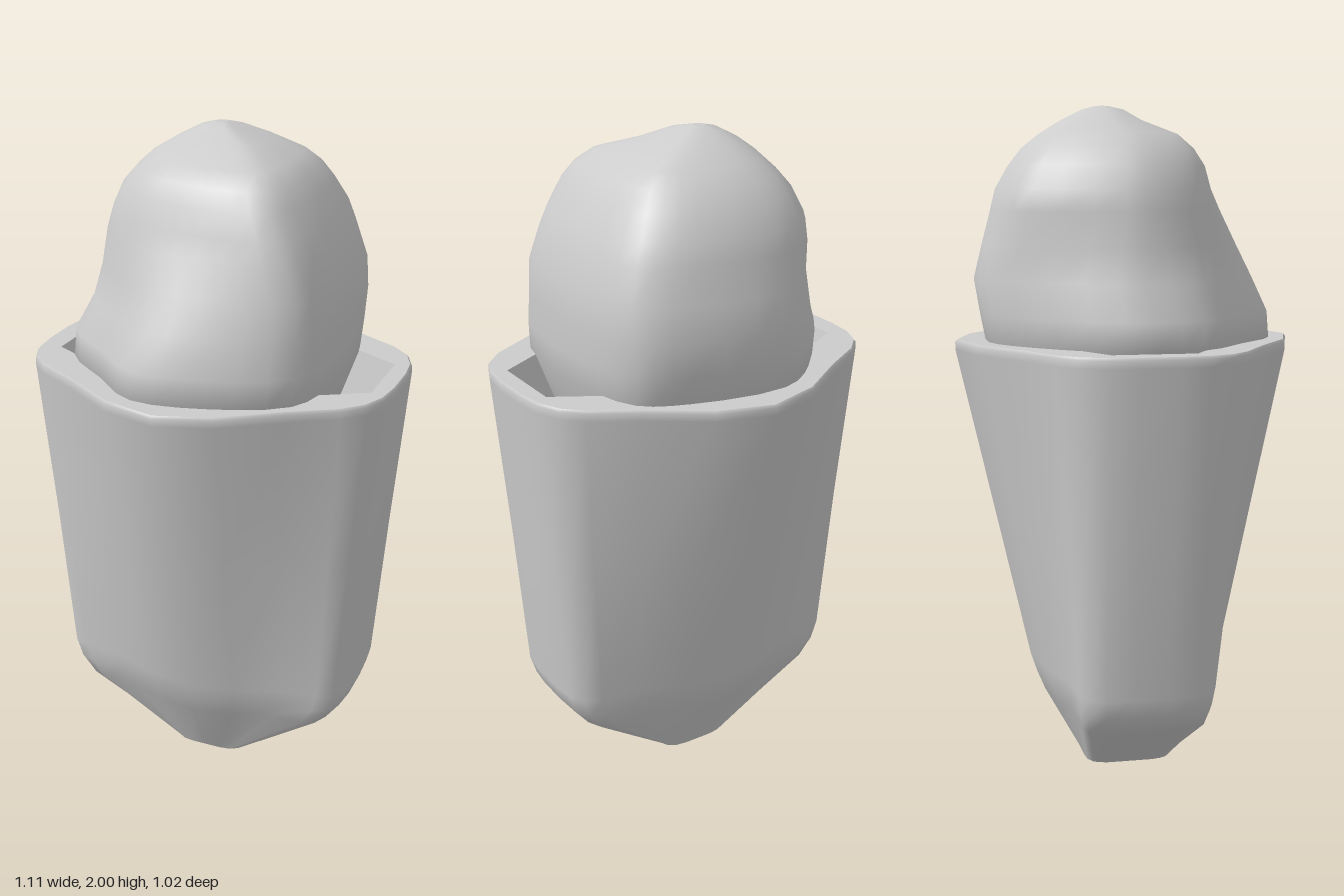
import * as THREE from 'three';

const material = new THREE.MeshStandardMaterial({ color: 0xcccccc });

// Skin a stack of closed rings (equal point counts, listed bottom to top)
function loft(rings) {
  const n = rings[0].length, pos = [], index = [];
  for (const ring of rings) for (const p of ring) pos.push(...p);
  for (let r = 0; r < rings.length - 1; r++) {
    for (let i = 0; i < n; i++) {
      const a = r * n + i, b = r * n + (i + 1) % n;
      index.push(a, a + n, b, b, a + n, b + n);
    }
  }
  const geo = new THREE.BufferGeometry();
  geo.setAttribute('position', new THREE.Float32BufferAttribute(pos, 3));
  geo.setIndex(index);
  geo.computeVertexNormals();
  return geo;
}

// Flat horizontal face, optionally with a hole
function plate(outline, y, up, hole) {
  const s = up ? -1 : 1;
  const flat = (pts) => pts.map((p) => new THREE.Vector2(p[0], s * p[2]));
  const shape = new THREE.Shape(flat(outline));
  if (hole) shape.holes.push(new THREE.Path(flat(hole)));
  return new THREE.ShapeGeometry(shape).rotateX(s * Math.PI / 2).translate(0, y, 0);
}

function addMesh(parent, name, geo) {
  const mesh = new THREE.Mesh(geo, material);
  mesh.name = name;
  parent.add(mesh);
}

// Mirror a quarter outline, running -z, +x, +z, -x
function mirrorQuarter(q) {
  const half = [...q, ...q.map(([x, z]) => [x, -z]).reverse()];
  const other = half.slice(1, -1).map(([x, z]) => [-x, z]).reverse();
  return [...half, ...other];
}

function createPot() {
  const pot = new THREE.Group();
  pot.name = 'pot';
  const outline = mirrorQuarter([[0, -0.51], [0.165, -0.46], [0.325, -0.35], [0.46, -0.27],
    [0.515, -0.215], [0.545, -0.145], [0.555, -0.06]]);
  // Nearly square foot
  const foot = mirrorQuarter([[0, -0.135], [0.045, -0.135], [0.08, -0.13], [0.105, -0.115],
    [0.115, -0.095], [0.12, -0.07], [0.12, -0.03]]).map(([x, z]) => [x, 0, z]);

  // y, half width, half depth, widening of the side panels
  const levels = [[0.21, 0.41, 0.25, 0.8], [0.27, 0.455, 0.275, 0.85],
    [0.33, 0.475, 0.295, 0.85], [0.8, 0.513, 0.4, 0.75], [1.29, 0.555, 0.51, 0],
    [1.312, 0.555, 0.51, 0], [1.32, 0.549, 0.504, 0]];
  const rings = [foot, ...levels.map(([y, w, d, k]) => outline.map(([x, z]) => {
    const s = d / 0.51;
    return [x * w / 0.555, y, z * (s + (1 - s) * k * (x / 0.555) ** 4)];
  }))];
  addMesh(pot, 'potBody', loft(rings));
  addMesh(pot, 'potBase', plate(foot, 0, false));

  // Six-sided cavity tapering inwards
  const hex = [[0, -0.4], [0.49, -0.12], [0.49, 0.12], [0, 0.4], [-0.49, 0.12], [-0.49, -0.12]];
  const mouth = hex.map(([x, z]) => [x + 0.01, 1.32, z]);
  const floor = hex.map(([x, z]) => [x * 0.76, 0.85, z * 0.76]);
  addMesh(pot, 'potRim', plate(rings.at(-1), 1.32, true, mouth));
  const walls = loft([mouth, floor]).toNonIndexed();
  walls.computeVertexNormals();
  addMesh(pot, 'cavityWalls', walls);
  addMesh(pot, 'cavityFloor', plate(floor, 0.85, true));
  return pot;
}

function smoothOutline(points, count) {
  const curve = new THREE.CatmullRomCurve3(
    points.map(([x, z]) => new THREE.Vector3(x, 0, z)), true, 'centripetal');
  return Array.from({ length: count }, (_, i) => curve.getPoint(i / count));
}

// Fit an outline to the given extents at height y
function fitRing(pts, [y, x0, x1, z0, z1]) {
  const { min, max } = new THREE.Box3().setFromPoints(pts);
  return pts.map((p) => [THREE.MathUtils.mapLinear(p.x, min.x, max.x, x0, x1), y,
    THREE.MathUtils.mapLinear(p.z, min.z, max.z, z0, z1)]);
}

function createBoulder() {
  const lower = smoothOutline([[-0.1, -0.455], [0.2, -0.415], [0.335, -0.34], [0.39, -0.14],
    [0.39, 0.12], [0.34, 0.3], [0.12, 0.41], [-0.1, 0.43], [-0.26, 0.3], [-0.42, 0.15],
    [-0.445, -0.08], [-0.26, -0.35]], 36);
  const upper = smoothOutline([[-0.08, -0.36], [0.14, -0.345], [0.27, -0.27], [0.3, -0.08],
    [0.3, 0.1], [0.25, 0.25], [0.08, 0.26], [-0.07, 0.23], [-0.2, 0.18], [-0.29, 0.07],
    [-0.32, -0.05], [-0.22, -0.29]], 36);

  // y, then the extents: min x, max x, min z, max z
  const levels = [
    [0.9, -0.01, 0.01, -0.01, 0.01], [0.95, -0.2, 0.2, -0.2, 0.2],
    [1.1, -0.33, 0.31, -0.32, 0.32], [1.32, -0.445, 0.385, -0.42, 0.435],
    [1.4, -0.44, 0.39, -0.435, 0.43], [1.5, -0.39, 0.39, -0.45, 0.39],
    [1.6, -0.365, 0.385, -0.425, 0.345], [1.7, -0.355, 0.35, -0.4, 0.305],
    [1.76, -0.34, 0.325, -0.385, 0.285], [1.83, -0.305, 0.285, -0.345, 0.265],
    [1.88, -0.26, 0.25, -0.305, 0.23], [1.92, -0.215, 0.205, -0.255, 0.18],
    [1.96, -0.15, 0.11, -0.19, 0.06], [1.99, -0.09, 0.03, -0.13, 0],
    [2.0, -0.05, -0.01, -0.09, -0.05]];
  const rings = levels.map((level) => {
    const t = THREE.MathUtils.smoothstep(level[0], 1.35, 1.8);
    return fitRing(lower.map((p, i) => p.clone().lerp(upper[i], t)), level);
  });
  const boulder = new THREE.Group();
  boulder.name = 'boulder';
  addMesh(boulder, 'boulderSurface', loft(rings));
  addMesh(boulder, 'boulderTip', plate(rings.at(-1), 2, true));
  return boulder;
}

export function createModel() {
  const model = new THREE.Group();
  model.name = 'pottedBoulder';
  model.add(createPot(), createBoulder());
  return model;
}
